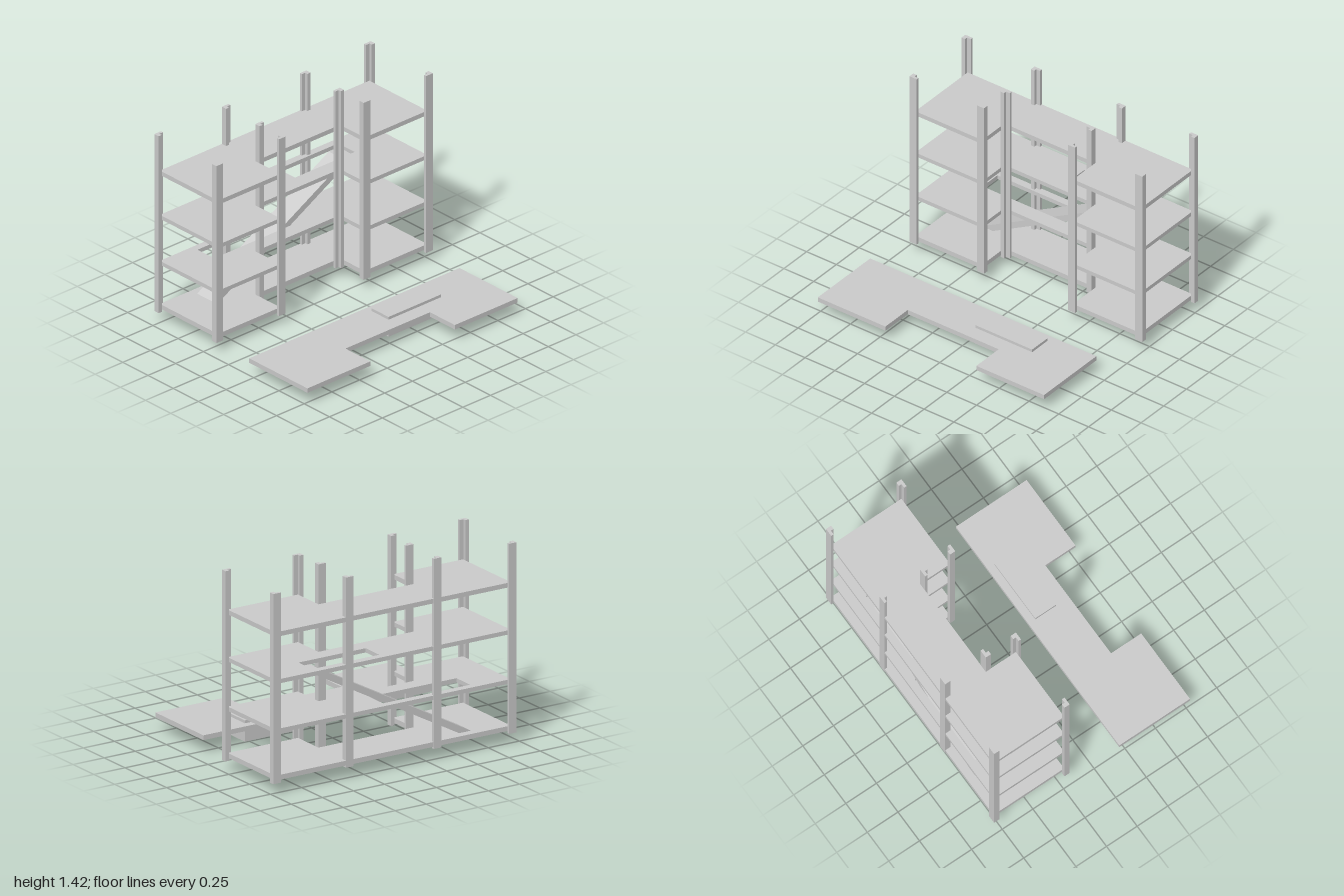
import * as THREE from 'three';

const material = new THREE.MeshStandardMaterial({ color: 0xcccccc, flatShading: true });

// Extrudes an outline of [x, z] points between two heights, with optional rectangular holes
function slab(name, outline, bottom, top, holes = []) {
  const toPoints = (list) => list.map(([x, z]) => new THREE.Vector2(x, z));
  const shape = new THREE.Shape(toPoints(outline));
  for (const [x0, x1, z0, z1] of holes) {
    shape.holes.push(new THREE.Path(toPoints([[x0, z0], [x0, z1], [x1, z1], [x1, z0]])));
  }
  const geometry = new THREE.ExtrudeGeometry(shape, { depth: top - bottom, bevelEnabled: false });
  geometry.rotateX(Math.PI / 2); // shape y becomes z, depth runs downwards
  geometry.translate(0, top, 0);
  const mesh = new THREE.Mesh(geometry, material);
  mesh.name = name;
  return mesh;
}

// C-shaped floor outline: full rectangle with a bay cut into its +x side
function bayOutline(x0, x1, z0, z1, bayX, bayZ0, bayZ1) {
  return [[x0, z0], [x1, z0], [x1, bayZ0], [bayX, bayZ0], [bayX, bayZ1], [x1, bayZ1], [x1, z1], [x0, z1]];
}

// L-section post; (x, z) is the outer corner, sx and sz point along its legs
function anglePost(x, z, sx, sz) {
  const outline = [[0, 0], [0.042, 0], [0.042, 0.029], [0.02, 0.029], [0.02, 0.06], [0, 0.06]]
    .map(([u, v]) => [x + u * sx, z + v * sz]);
  return slab('post', outline, 0.08, 1.42);
}

export function createModel() {
  const model = new THREE.Group();

  // Four floors, the middle two with an opening for the ramp
  const floors = new THREE.Group();
  floors.name = 'floors';
  const plan = bayOutline(-0.766, -0.19, -0.97, 0.922, -0.435, -0.404, 0.36);
  const levels = [
    [0.095, 0.129, []],
    [0.426, 0.456, [[-0.712, -0.548, -0.07, 0.63]]],
    [0.774, 0.804, [[-0.712, -0.548, -0.64, -0.1]]],
    [1.106, 1.139, []],
  ];
  for (const [bottom, top, holes] of levels) floors.add(slab('floor', plan, bottom, top, holes));
  model.add(floors);

  // Corner posts, bay tip posts and inner posts
  const posts = new THREE.Group();
  posts.name = 'posts';
  for (const [x, sx] of [[-0.785, 1], [-0.169, -1]]) {
    posts.add(anglePost(x, -1, sx, 1), anglePost(x, 0.955, sx, -1));
  }
  posts.add(anglePost(-0.169, -0.375, -1, -1), anglePost(-0.169, 0.33, -1, 1));
  for (const x of [-0.768, -0.436]) {
    posts.add(anglePost(x, -0.404, 1, 1), anglePost(x, 0.361, 1, -1));
  }
  model.add(posts);

  // Sloping ramp: a parallelogram in the z-y plane, extruded across x
  const side = new THREE.Shape([[0.64, 0.129], [-0.55, 0.776], [-0.645, 0.776], [0.545, 0.129]]
    .map(([z, y]) => new THREE.Vector2(-z, y)));
  const rampGeometry = new THREE.ExtrudeGeometry(side, { depth: 0.158, bevelEnabled: false });
  rampGeometry.rotateY(Math.PI / 2); // shape x becomes -z, depth becomes +x
  rampGeometry.translate(-0.707, 0, 0);
  const ramp = new THREE.Mesh(rampGeometry, material);
  ramp.name = 'ramp';
  model.add(ramp);

  // Separate platform with a block set through it
  model.add(slab('platform', bayOutline(0.205, 0.782, -0.9, 1, 0.536, -0.332, 0.432), 0.095, 0.129));
  const block = new THREE.Mesh(new THREE.BoxGeometry(0.168, 0.15, 0.475), material);
  block.name = 'block';
  block.position.set(0.344, 0.075, -0.293);
  model.add(block);

  return model;
}
